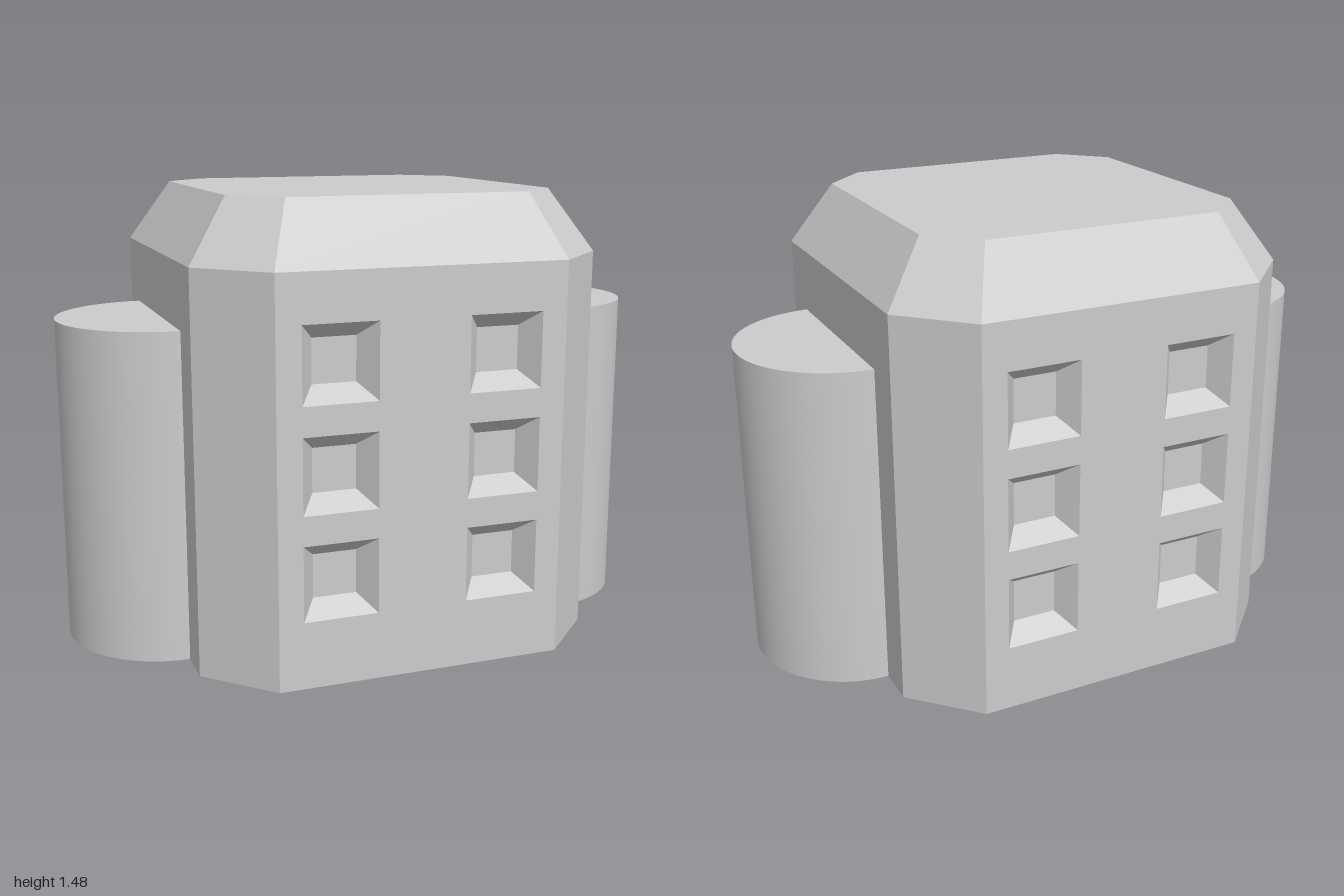
import * as THREE from 'three';

const HALF = 0.667, CORNER = 0.467, EAVES = 1.275, TOP = 1.475;
const grey = new THREE.MeshStandardMaterial({ color: 0xcccccc });

function add(parent, name, geometry) {
  const mesh = new THREE.Mesh(geometry, grey);
  mesh.name = name;
  parent.add(mesh);
  return mesh;
}

// Flat-faced band between two rings of [x, y, z], with optional end cap and skipped sides
function loft(a, b, { cap = false, skip = [] } = {}) {
  const p = [], n = a.length;
  for (let i = 0; i < n; i++) {
    if (skip.includes(i)) continue;
    const j = (i + 1) % n;
    p.push(...a[i], ...a[j], ...b[j], ...a[i], ...b[j], ...b[i]);
  }
  if (cap) for (let i = 1; i < n - 1; i++) p.push(...b[0], ...b[i], ...b[i + 1]);
  const g = new THREE.BufferGeometry();
  g.setAttribute('position', new THREE.Float32BufferAttribute(p, 3));
  g.computeVertexNormals();
  return g;
}

// Square with cut corners, side 0 at the front, side 4 at the back
const octagon = (h, c, y) =>
  [[-c, h], [c, h], [h, c], [h, -c], [c, -h], [-c, -h], [-h, -c], [-h, c]].map(([x, z]) => [x, y, z]);

// Rectangle of half-size s around (x, y), counter-clockwise
const square = (x, y, s, z) =>
  [[-s, -s], [s, -s], [s, s], [-s, s]].map(([u, v]) => [x + u, y + v, z]);

// Flat wall pierced by six tapered window recesses
function createFacade(name) {
  const facade = new THREE.Group();
  facade.name = name;
  const wall = new THREE.Shape([[-CORNER, 0], [CORNER, 0], [CORNER, EAVES], [-CORNER, EAVES]]
    .map(([x, y]) => new THREE.Vector2(x, y)));
  for (const x of [-0.268, 0.265]) {
    for (const y of [0.335, 0.669, 1.002]) {
      const rim = square(x, y, 0.12, HALF);
      wall.holes.push(new THREE.Path(rim.map(([u, v]) => new THREE.Vector2(u, v))));
      add(facade, 'windowRecess', loft(rim, square(x, y, 0.07, HALF - 0.067), { cap: true }));
    }
  }
  add(facade, 'wall', new THREE.ShapeGeometry(wall)).position.z = HALF;
  return facade;
}

export function createModel() {
  const model = new THREE.Group();
  model.name = 'building';

  // Octagonal body, roof and base
  const base = octagon(HALF, CORNER, 0), eaves = octagon(HALF, CORNER, EAVES);
  add(model, 'sideWalls', loft(base, eaves, { skip: [0, 4] }));
  add(model, 'roof', loft(eaves, octagon(0.535, 0.393, TOP), { cap: true }));
  const floor = [...base].reverse();
  add(model, 'floor', loft(floor, floor, { cap: true, skip: [0, 1, 2, 3, 4, 5, 6, 7] }));

  // Matching front and back facades
  const back = createFacade('backFacade');
  back.rotation.y = Math.PI;
  model.add(createFacade('frontFacade'), back);

  // Half-round towers on both sides
  for (const [name, side, start] of [['leftTower', 1, 0], ['rightTower', -1, Math.PI]]) {
    const tower = add(model, name, new THREE.CylinderGeometry(0.333, 0.333, 1.067, 48, 1, false, start, Math.PI));
    tower.position.set(side * HALF, 1.067 / 2, 0);
  }
  return model;
}
